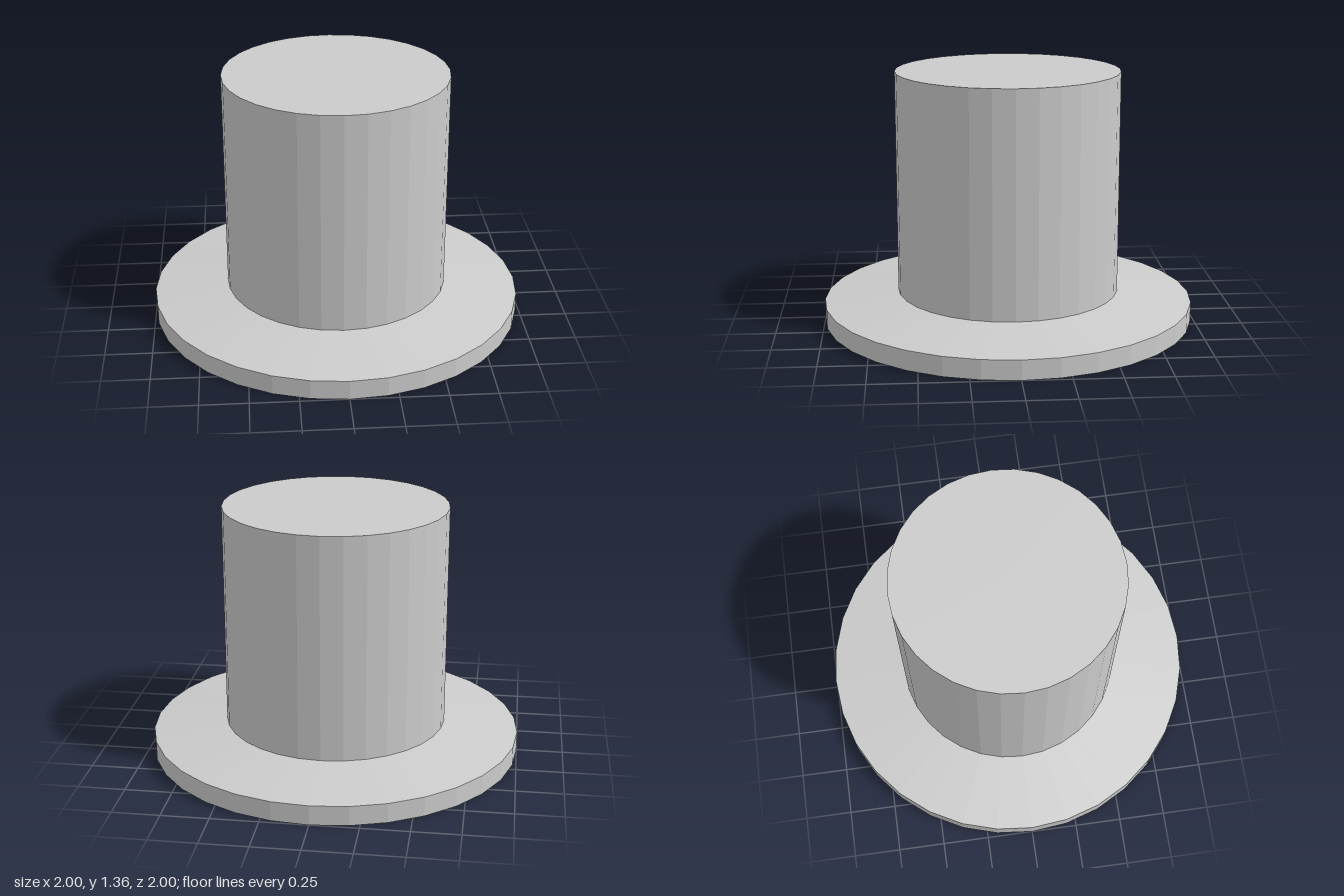
import * as THREE from 'three';

const SIDES = 32;

export function createModel() {
  const group = new THREE.Group();
  group.name = 'topHat';
  const material = new THREE.MeshStandardMaterial({ color: 0xcccccc, flatShading: true });

  // Faceted round part spun from [radius, height] pairs, listed bottom to top
  function addTurned(name, profile) {
    const points = profile.map(([r, y]) => new THREE.Vector2(r, y));
    const mesh = new THREE.Mesh(new THREE.LatheGeometry(points, SIDES), material);
    mesh.name = name;
    group.add(mesh);
  }

  // Brim: flat underside, upright rim, top sloping up to the crown
  addTurned('brim', [[0, 0], [1, 0], [1, 0.105], [0.6, 0.157]]);

  // Crown: straight wall and flat lid
  addTurned('crown', [[0.6, 0.157], [0.6, 1.357], [0, 1.357]]);

  return group;
}
